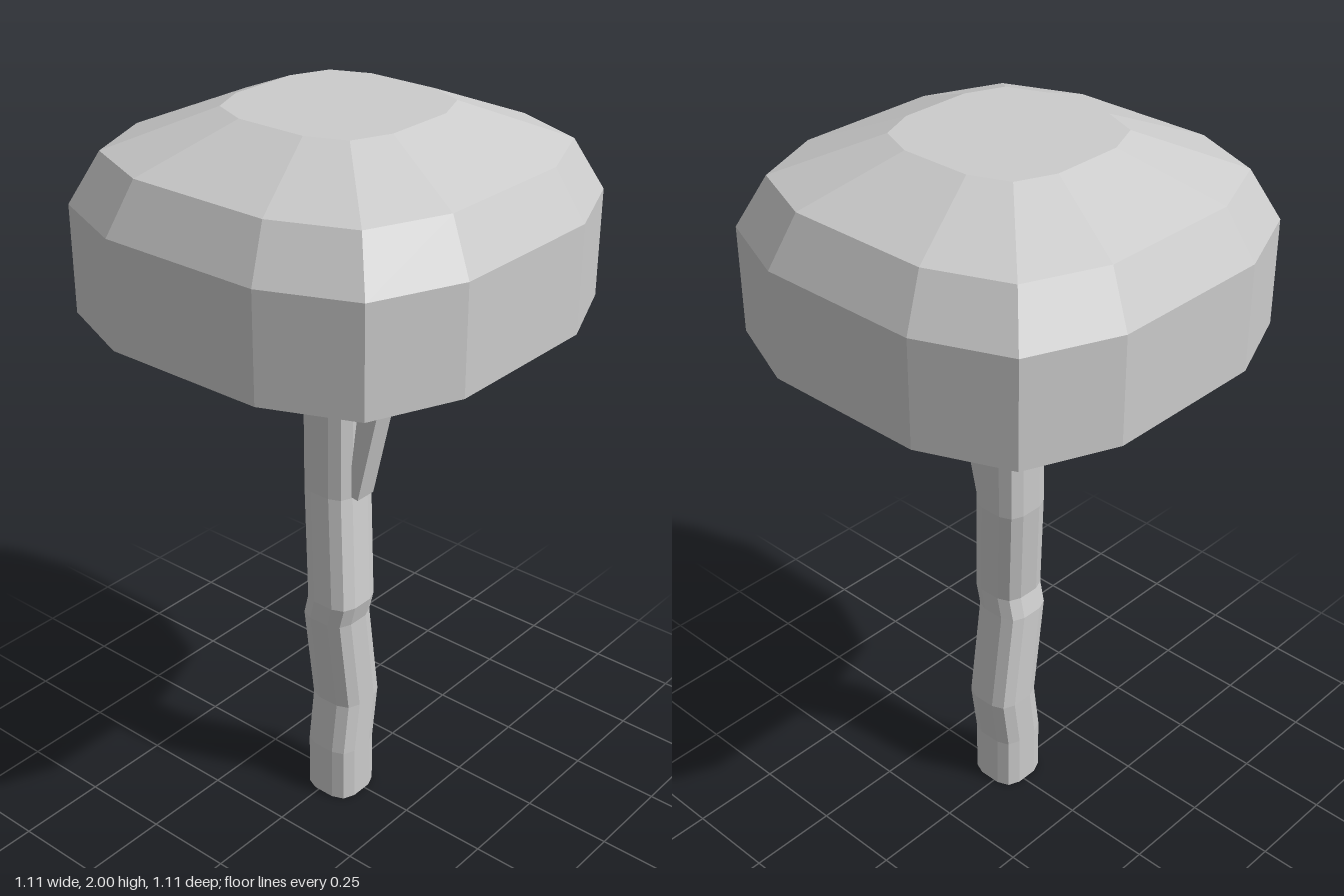
import * as THREE from 'three';

const material = new THREE.MeshStandardMaterial({ color: 0xcccccc, flatShading: true });

// Twelve-sided rounded square with corners cut back, half-width 1, as [x, z]
const OUTLINE = [];
for (let q = 0; q < 4; q++) {
  const c = Math.round(Math.cos(q * Math.PI / 2)), s = Math.round(Math.sin(q * Math.PI / 2));
  for (const [x, z] of [[1, -0.405], [1, 0.405], [0.825, 0.825]]) OUTLINE.push([x * c - z * s, x * s + z * c]);
}

// Skin a stack of rings, each [y, halfWidth, centreX, centreZ]
function loft(name, rings, capBottom, capTop) {
  const n = OUTLINE.length, pos = [], index = [];
  for (const [y, r, cx = 0, cz = 0] of rings)
    for (const [x, z] of OUTLINE) pos.push(cx + x * r, y, cz + z * r);
  for (let k = 0; k < rings.length - 1; k++)
    for (let i = 0; i < n; i++) {
      const a = k * n + i, b = k * n + (i + 1) % n;
      index.push(a, a + n, b, b, a + n, b + n);
    }
  const last = (rings.length - 1) * n;
  for (let i = 1; i < n - 1; i++) {
    if (capBottom) index.push(0, i, i + 1);
    if (capTop) index.push(last, last + i + 1, last + i);
  }
  const geo = new THREE.BufferGeometry();
  geo.setAttribute('position', new THREE.Float32BufferAttribute(pos, 3));
  geo.setIndex(index);
  const flat = geo.toNonIndexed();
  flat.computeVertexNormals();
  const mesh = new THREE.Mesh(flat, material);
  mesh.name = name;
  return mesh;
}

export function createModel() {
  const tree = new THREE.Group();
  tree.name = 'tree';

  // Crooked trunk, flaring where it meets the canopy
  tree.add(loft('trunk', [
    [0, 0.077, 0.018, 0.013],
    [0.16, 0.077, 0.018, 0.013],
    [0.31, 0.077, 0.018, -0.008],
    [0.6, 0.076, 0.02, 0.033],
    [0.66, 0.076, 0.036, 0.035],
    [0.97, 0.076, -0.004, 0],
    [1.31, 0.076, -0.004, 0],
    [1.4, 0.14, 0, 0],
  ], true, false));

  // Faceted canopy with a shallow underside and flat crown
  tree.add(loft('canopy', [
    [1.4, 0.14], [1.49, 0.555], [1.77, 0.555], [1.9, 0.485], [2, 0.24],
  ], false, true));

  // Tapered side branch, widening up into the canopy
  const side = new THREE.Shape([[0.06, 0.975], [0.092, 0.97], [0.193, 1.41], [0.112, 1.41]]
    .map(([x, y]) => new THREE.Vector2(x, y)));
  const branchGeo = new THREE.ExtrudeGeometry(side, { depth: 0.064, bevelEnabled: false });
  branchGeo.translate(0, 0, -0.03);
  const branch = new THREE.Mesh(branchGeo, material);
  branch.name = 'branch';
  tree.add(branch);

  return tree;
}
